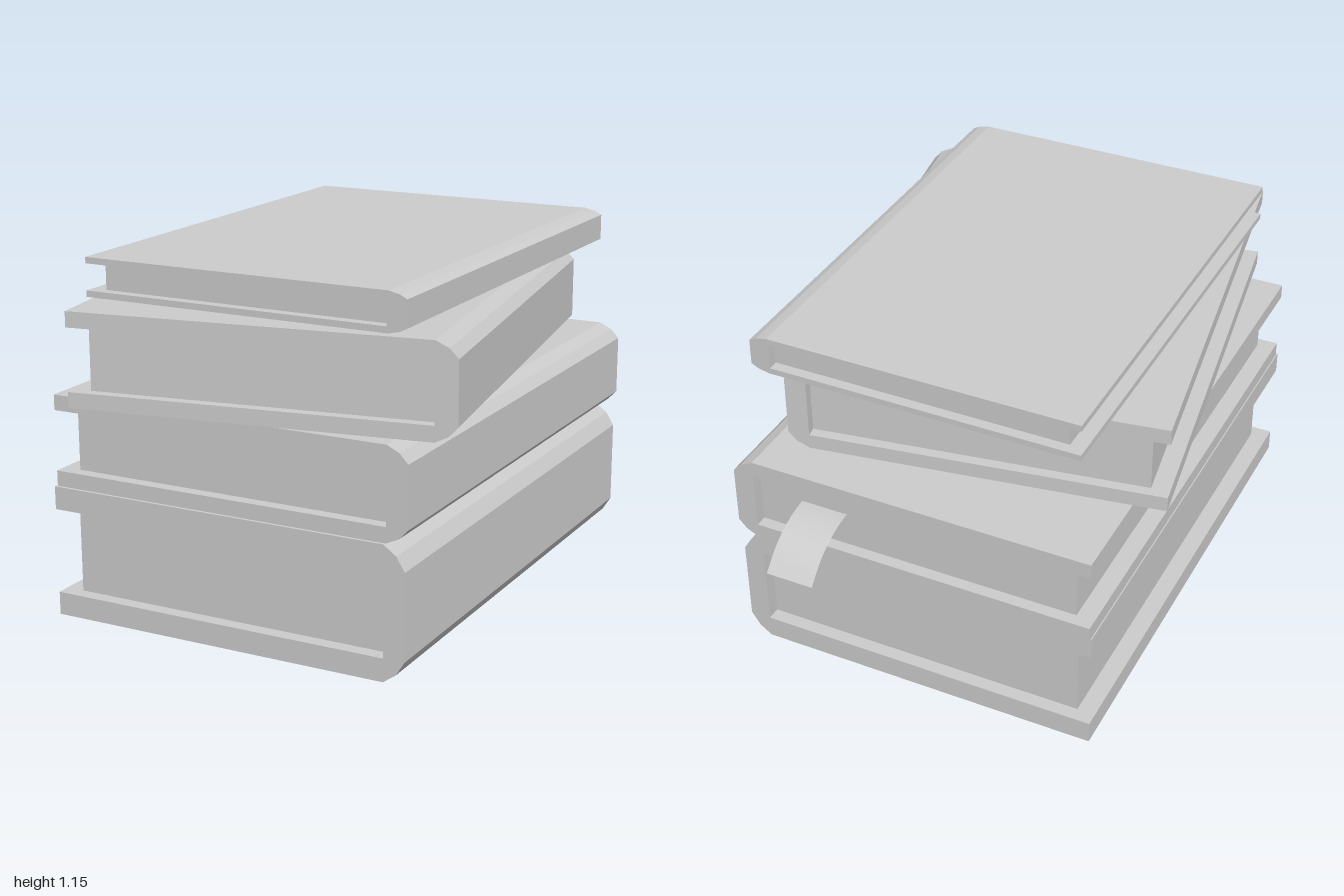
import * as THREE from 'three';

const material = new THREE.MeshStandardMaterial({ color: 0xcccccc, flatShading: true });
const ribbonMaterial = new THREE.MeshStandardMaterial({ color: 0xcccccc, side: THREE.DoubleSide });

function addMesh(parent, name, geometry, mat = material) {
  const mesh = new THREE.Mesh(geometry, mat);
  mesh.name = name;
  parent.add(mesh);
  return mesh;
}

// A closed book lying flat, spine towards +x, resting on its local y = 0
function createBook({ name, width, height, depth, board, spine, foreInset, endInset, bevel, x, y, z, turn = 0 }) {
  const book = new THREE.Group();
  book.name = name;
  const w = width / 2;
  const [bx, by] = bevel;

  // Cover: C-shaped profile with a faceted spine
  const profile = [
    [-w, 0], [w - bx, 0], [w - bx * 0.4, by * 0.4], [w, by],
    [w, height - by], [w - bx * 0.4, height - by * 0.4], [w - bx, height], [-w, height],
    [-w, height - board], [w - spine, height - board], [w - spine, board], [-w, board],
  ].map(([px, py]) => new THREE.Vector2(px, py));
  const cover = new THREE.ExtrudeGeometry(new THREE.Shape(profile), { depth, bevelEnabled: false });
  cover.translate(0, 0, -depth / 2);
  addMesh(book, 'cover', cover);

  // Page block, set back from the cover edges
  const pageWidth = width - spine - foreInset;
  const pages = new THREE.BoxGeometry(pageWidth, height - board * 2, depth - endInset * 2);
  pages.translate(-w + foreInset + pageWidth / 2, height / 2, 0);
  addMesh(book, 'pages', pages);

  book.position.set(x, y, z);
  book.rotation.y = turn;
  return book;
}

// Ribbon hanging out of the back of the pages
function createBookmark() {
  const curve = new THREE.CatmullRomCurve3([
    [-0.7, 0.595], [-0.79, 0.595], [-0.87, 0.575], [-0.94, 0.535], [-1.0, 0.475],
  ].map(([z, y]) => new THREE.Vector3(0, y, z)));
  const steps = 10;
  const geometry = new THREE.PlaneGeometry(0.16, 1, 1, steps);
  const position = geometry.attributes.position;
  for (let i = 0; i < position.count; i++) {
    const p = curve.getPoint(Math.floor(i / 2) / steps);
    position.setXYZ(i, position.getX(i) + 0.31, p.y, p.z);
  }
  // Rows run towards the back, so flip the winding to face upwards
  const index = geometry.index;
  for (let i = 0; i < index.count; i += 3) {
    const a = index.getX(i);
    index.setX(i, index.getX(i + 1));
    index.setX(i + 1, a);
  }
  geometry.computeVertexNormals();
  return geometry;
}

export function createModel() {
  const stack = new THREE.Group();
  stack.name = 'bookStack';

  const books = [
    { name: 'bottomBook', width: 1.225, height: 0.428, depth: 1.7, board: 0.075, spine: 0.07,
      foreInset: 0.06, endInset: 0.045, bevel: [0.07, 0.075], x: -0.007, y: 0, z: 0.05 },
    { name: 'secondBook', width: 1.225, height: 0.297, depth: 1.7, board: 0.05, spine: 0.07,
      foreInset: 0.06, endInset: 0.04, bevel: [0.07, 0.05], x: -0.003, y: 0.428, z: 0.04 },
    { name: 'turnedBook', width: 1.22, height: 0.3, depth: 1.494, board: 0.05, spine: 0.07,
      foreInset: 0.06, endInset: 0.035, bevel: [0.07, 0.05], x: 0, y: 0.725, z: 0.16, turn: 0.16 },
    { name: 'topBook', width: 1.1, height: 0.125, depth: 1.53, board: 0.02, spine: 0.065,
      foreInset: 0.05, endInset: 0.035, bevel: [0.06, 0.02], x: 0.01, y: 1.025, z: 0.037 },
  ];
  for (const book of books) stack.add(createBook(book));

  addMesh(stack, 'bookmark', createBookmark(), ribbonMaterial);
  return stack;
}
